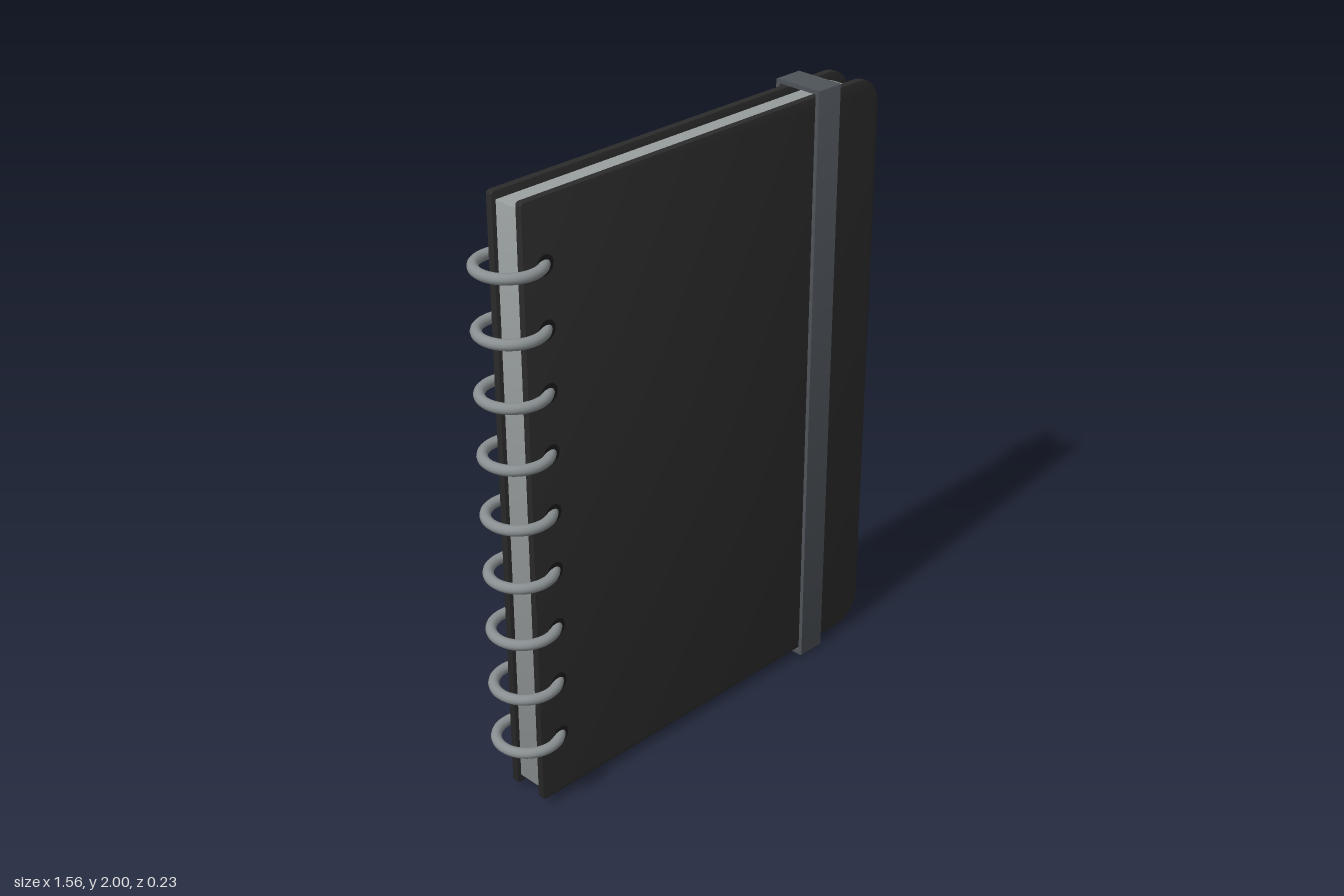
import * as THREE from 'three';
import { toCreasedNormals } from 'three/addons/utils/BufferGeometryUtils.js';

const material = (name, color) => {
  const m = new THREE.MeshStandardMaterial({ color });
  m.name = name;
  return m;
};

// Rectangle with one radius on the spine side and another on the opening side
function outline(x0, x1, y0, y1, rSpine, rEdge) {
  const s = new THREE.Shape();
  const corner = (x, y, r, a) => s.absarc(x, y, r, a, a + Math.PI / 2, false);
  corner(x0 + rSpine, y0 + rSpine, rSpine, Math.PI);
  corner(x1 - rEdge, y0 + rEdge, rEdge, -Math.PI / 2);
  corner(x1 - rEdge, y1 - rEdge, rEdge, 0);
  corner(x0 + rSpine, y1 - rSpine, rSpine, Math.PI / 2);
  s.closePath();
  return s;
}

// Extrusion centred on z = 0, with an optional softened rim
function slab(shape, depth, bevel = 0) {
  const g = new THREE.ExtrudeGeometry(shape, {
    depth: depth - 2 * bevel, curveSegments: 14,
    bevelEnabled: bevel > 0, bevelSize: bevel, bevelThickness: bevel,
    bevelOffset: -bevel, bevelSegments: 2,
  });
  g.translate(0, 0, bevel - depth / 2);
  return toCreasedNormals(g, 0.6);
}

export function createModel() {
  const coverMat = material('cover black', 0x2b2b2b);
  const pageMat = material('page grey', 0x959a9b);
  const strapMat = material('strap grey', 0x4e5359);
  const ringMat = material('ring metal', 0x8a9092);
  const holeMat = material('hole black', 0x1b1b1b);

  const model = new THREE.Group();
  model.name = 'notebook';
  const add = (name, geometry, mat, x = 0, y = 0, z = 0) => {
    const mesh = new THREE.Mesh(geometry, mat);
    mesh.name = name;
    mesh.position.set(x, y, z);
    model.add(mesh);
    return mesh;
  };

  // Page block
  add('pages', slab(outline(-0.663, 0.753, 0.052, 1.955, 0.003, 0.085), 0.094), pageMat);

  // Front and back covers
  const cover = slab(outline(-0.677, 0.778, 0.027, 1.98, 0.012, 0.095), 0.025, 0.004);
  add('frontCover', cover, coverMat, 0, 0, 0.059);
  add('backCover', cover, coverMat, 0, 0, -0.059);

  // Elastic strap: a thin rectangular loop around the closed book
  const loop = outline(-0.085, 0.085, 0, 2, 0.004, 0.004);
  loop.holes.push(outline(-0.072, 0.072, 0.013, 1.987, 0.001, 0.001));
  const strap = slab(loop, 0.098);
  strap.rotateY(Math.PI / 2);
  add('elasticStrap', strap, strapMat, 0.533, 0, 0);

  // Binding rings with the punched holes they pass through
  const ring = new THREE.TorusGeometry(0.0965, 0.0165, 12, 48);
  ring.rotateX(Math.PI / 2);
  const hole = new THREE.CylinderGeometry(0.031, 0.031, 0.003, 24);
  hole.rotateX(Math.PI / 2);
  for (let i = 0; i < 9; i++) {
    const y = 0.234 + i * 0.1935;
    add('bindingRing', ring, ringMat, -0.667, y, 0);
    for (const side of [1, -1]) add('punchedHole', hole, holeMat, -0.601, y, side * 0.0715);
  }
  return model;
}
